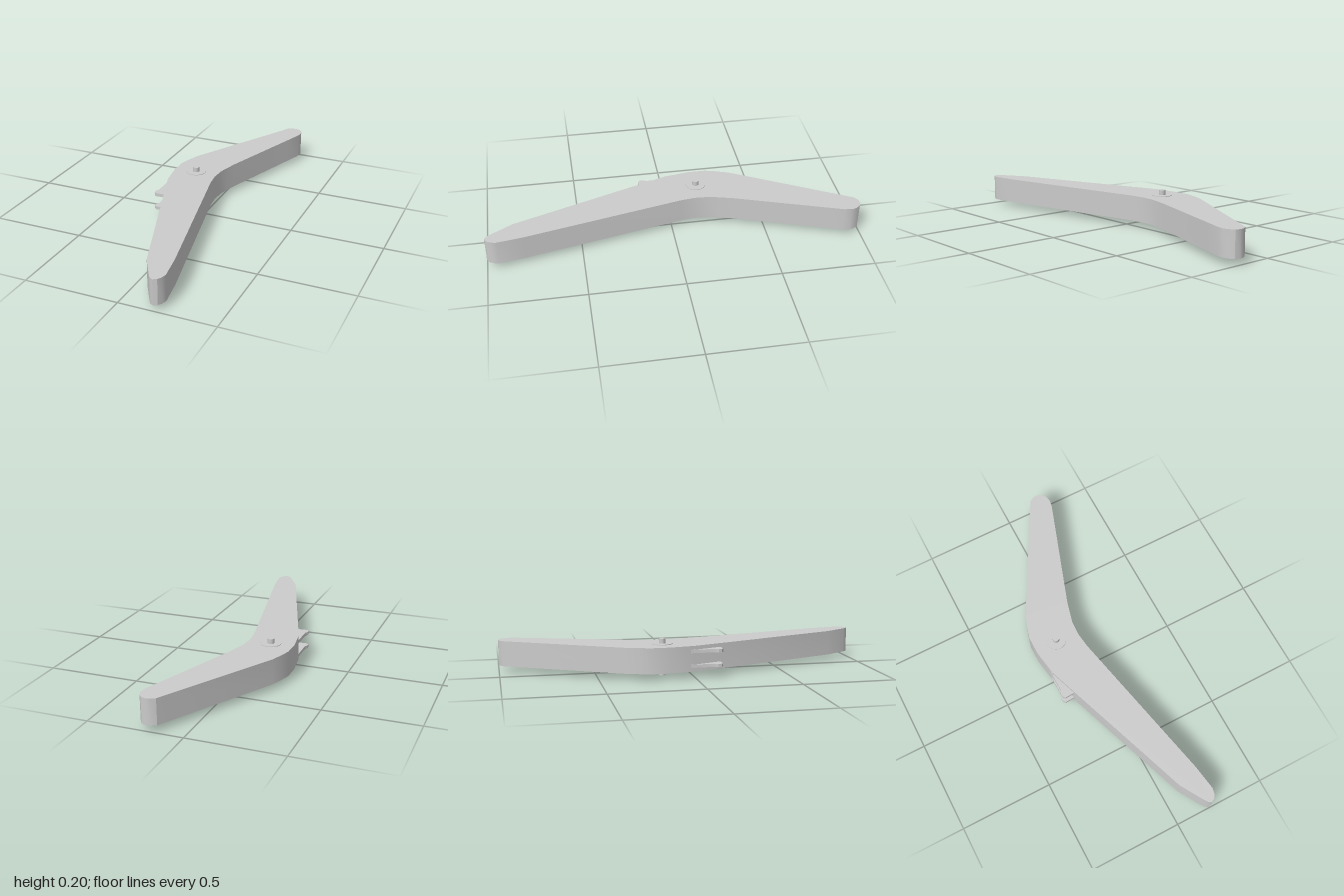
import * as THREE from 'three';
import { toCreasedNormals } from 'three/addons/utils/BufferGeometryUtils.js';

const material = new THREE.MeshStandardMaterial({ color: 0xcccccc });

// Extrudes a plan outline of [x, z] points upward between two heights
function slab(name, outline, bottom, top) {
  const shape = new THREE.Shape(outline.map(([x, z]) => new THREE.Vector2(x, -z)));
  const geometry = new THREE.ExtrudeGeometry(shape, { depth: top - bottom, bevelEnabled: false });
  geometry.rotateX(-Math.PI / 2).translate(0, bottom, 0);
  const mesh = new THREE.Mesh(toCreasedNormals(geometry, 0.5), material);
  mesh.name = name;
  return mesh;
}

// Upright cylinder on the pivot axis
function pivotPart(name, radius, bottom, top, sides) {
  const mesh = new THREE.Mesh(new THREE.CylinderGeometry(radius, radius, top - bottom, sides), material);
  mesh.position.set(-0.118, (bottom + top) / 2, -0.155);
  mesh.name = name;
  return mesh;
}

export function createModel() {
  const group = new THREE.Group();
  group.name = 'bentArm';

  // Bent arm with two tapering wings and rounded tips
  group.add(slab('armBody', [
    [0.165, -0.997], [0.19, -1], [0.215, -0.99], [0.232, -0.967], [0.24, -0.94], [0.234, -0.9],
    [0.2, -0.8], [0.04, -0.33], [0.024, -0.27], [0.009, -0.21], [0.005, -0.13], [0.015, -0.05],
    [0.2, 0.8], [0.222, 0.94], [0.217, 0.965], [0.203, 0.99], [0.183, 1], [0.165, 0.99], [0.15, 0.968],
    [0.08, 0.85], [-0.22, 0], [-0.241, -0.135], [-0.241, -0.23],
    [-0.225, -0.29], [-0.2, -0.36], [0.125, -0.955], [0.14, -0.982],
  ], 0.031, 0.168));

  // Pair of thin fins beside the bend
  const finOutline = [
    [-0.224, -0.05], [-0.222, 0.105], [-0.232, 0.125], [-0.23, 0.143], [-0.218, 0.153],
    [-0.158, 0.15], [-0.147, 0.165], [-0.12, 0.15], [-0.18, -0.05],
  ];
  group.add(slab('upperFin', finOutline, 0.13, 0.148));
  group.add(slab('lowerFin', finOutline, 0.052, 0.069));

  // Pivot pin passing through, with a washer on each face
  group.add(pivotPart('pivotPin', 0.018, 0, 0.197, 12));
  group.add(pivotPart('upperWasher', 0.054, 0.165, 0.171, 24));
  group.add(pivotPart('lowerWasher', 0.054, 0.028, 0.034, 24));
  return group;
}
